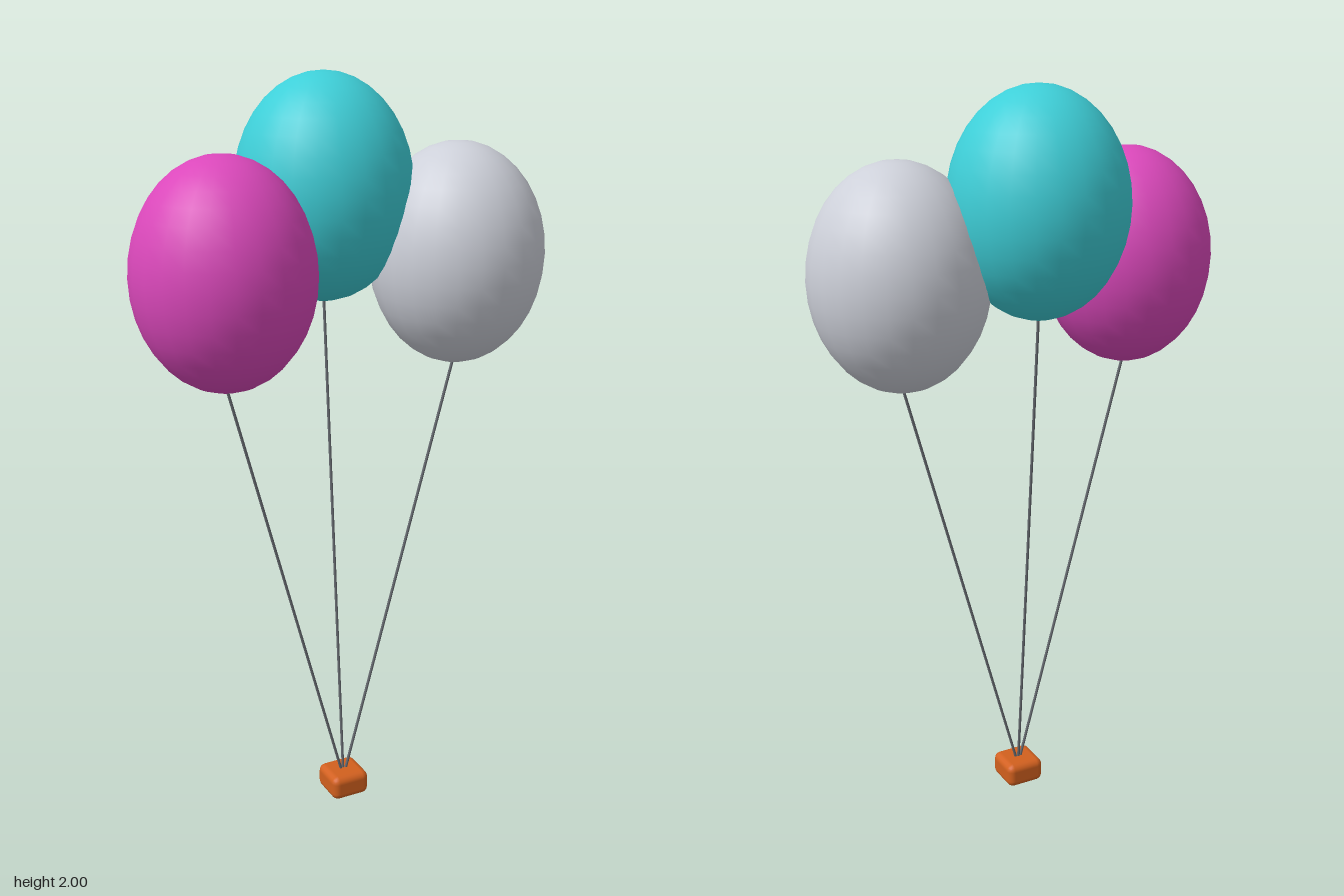
import * as THREE from 'three';
import { RoundedBoxGeometry } from 'three/addons/geometries/RoundedBoxGeometry.js';

const mat = (name, color) => {
  const m = new THREE.MeshStandardMaterial({ color });
  m.name = name;
  return m;
};

export function createModel() {
  const model = new THREE.Group();
  model.name = 'balloonBunch';
  const stringMat = mat('string grey', 0x666a70);
  const add = (name, geometry, material) => {
    const mesh = new THREE.Mesh(geometry, material);
    mesh.name = name;
    model.add(mesh);
    return mesh;
  };

  // Weight that anchors the strings
  add('weight', new RoundedBoxGeometry(0.112, 0.07, 0.112, 2, 0.02), mat('weight orange', 0xd2601e))
    .position.set(0, 0.035, 0.058);

  const RX = 0.232, RY = 0.291;
  const knot = new THREE.Vector3(0, 0.04, 0.058);
  const up = new THREE.Vector3(0, 1, 0);

  const balloons = [
    ['right', -0.33, 1.533, 0.058, mat('magenta', 0xdb48bb)],
    ['centre', 0, 1.709, -0.061, mat('teal', 0x3ecfd8)],
    ['left', 0.33, 1.533, 0.058, mat('silver', 0xcdd0d9)],
  ];
  for (const [side, x, y, z, material] of balloons) {
    // Egg-shaped balloon, taller than wide
    const shell = new THREE.SphereGeometry(1, 24, 18).scale(RX, RY, RX);
    add(side + 'Balloon', shell, material).position.set(x, y, z);

    // Straight string from the weight to the underside of the balloon
    const end = new THREE.Vector3(x, y - RY + 0.005, z);
    const dir = end.clone().sub(knot);
    const string = add(side + 'String', new THREE.CylinderGeometry(0.004, 0.004, dir.length(), 8), stringMat);
    string.position.copy(knot).addScaledVector(dir, 0.5);
    string.quaternion.setFromUnitVectors(up, dir.normalize());
  }
  return model;
}
